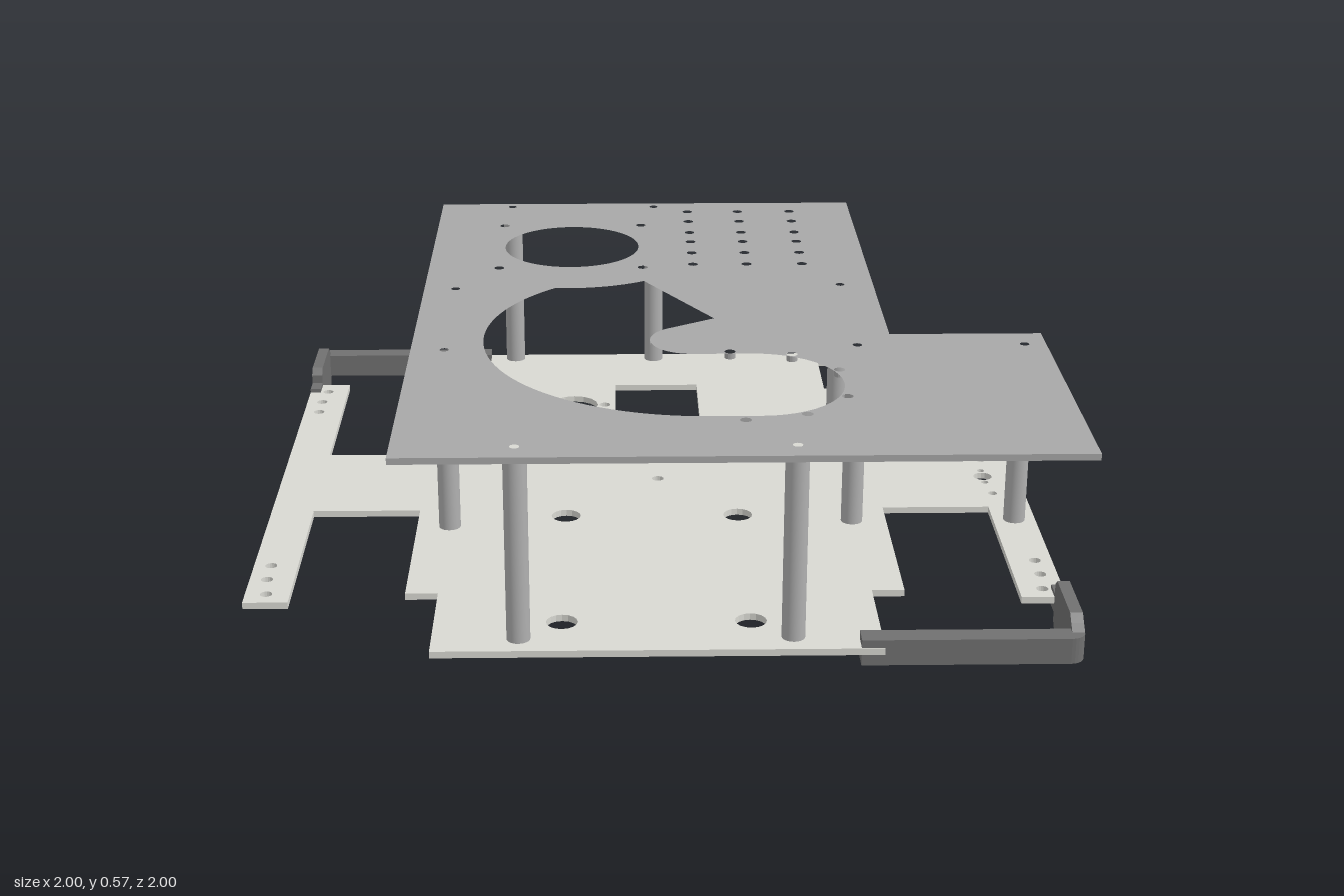
import * as THREE from 'three';

const mat = (color) => new THREE.MeshStandardMaterial({ color });

// Points are [x, z] in plan; shapes use y = -z so a plate can be laid flat.
const toVecs = (pts) => pts.map(([x, z]) => new THREE.Vector2(x, -z));

function arc(cx, cz, r, a0, a1, n = 24) {
  return Array.from({ length: n + 1 }, (_, i) => {
    const a = a0 + ((a1 - a0) * i) / n;
    return [cx + r * Math.cos(a), cz + r * Math.sin(a)];
  });
}

const circle = (x, z, r = 0.014) => arc(x, z, r, 0, Math.PI * 2, r > 0.1 ? 64 : 16).slice(0, -1);

// Flat plate from a plan outline and cutouts, with its underside at y
function plate(name, outline, cutouts, y, thickness, material) {
  const shape = new THREE.Shape(toVecs(outline));
  shape.holes = cutouts.map((c) => new THREE.Path(toVecs(c)));
  const geo = new THREE.ExtrudeGeometry(shape, { depth: thickness, bevelEnabled: false });
  geo.rotateX(-Math.PI / 2).translate(0, y, 0);
  const mesh = new THREE.Mesh(geo, material);
  mesh.name = name;
  return mesh;
}

export function createModel() {
  const model = new THREE.Group();
  model.name = 'twoDeckChassis';
  const topMat = mat(0xa8a8a8);
  const baseMat = mat(0xd8d8d2);
  const postMat = mat(0xb0b0b0);
  const bumperMat = mat(0x707070);
  const HALF = Math.PI / 2;

  // Spacer posts, each with a screw hole above it in the top deck
  const posts = [
    [-0.4, -0.97], [0.025, -0.965], [-0.525, -0.195], [0.52, -0.215], [-0.525, 0.29],
    [0.52, 0.27], [0.945, 0.27], [-0.325, 0.935], [0.32, 0.935],
  ];
  const postGeo = new THREE.CylinderGeometry(0.028, 0.028, 0.47, 24);
  for (const [x, z] of posts) {
    const post = new THREE.Mesh(postGeo, postMat);
    post.name = 'spacerPost';
    post.position.set(x, 0.315, z);
    model.add(post);
  }

  // Top deck: kidney cutout, round cutout and screw holes
  const kidney = [
    [0.165, 0.06],
    ...arc(0.1, 0.225, 0.105, -2.06, -3 * HALF),
    ...arc(0.25, 0.5425, 0.2125, -HALF, HALF),
    ...arc(0.12, 0.205, 0.55, HALF, 3.96, 40),
    ...arc(-0.215, -0.57, 0.375, HALF + 0.04, 1.005, 12),
  ];
  const topCuts = [kidney, circle(-0.215, -0.57, 0.19), ...posts.map(([x, z]) => circle(x, z, 0.012))];
  for (const x of [-0.415, -0.015]) for (const z of [-0.775, -0.375]) topCuts.push(circle(x, z));
  for (const x of [0.125, 0.275, 0.43])
    for (const z of [-0.91, -0.81, -0.7, -0.61, -0.505, -0.4]) topCuts.push(circle(x, z));
  for (const a of [-1.122, -0.424, 0.394, 1.085])
    topCuts.push(circle(0.25 + 0.229 * Math.cos(a), 0.5425 + 0.229 * Math.sin(a)));
  topCuts.push(circle(0.195, 0.314), circle(0.21, 0.78));
  const topOutline = [[-0.61, -1], [0.61, -1], [0.61, 0.19], [1, 0.19], [1, 1], [-0.61, 1]];
  model.add(plate('topDeck', topOutline, topCuts, 0.55, 0.016, topMat));

  // Base deck with a long arm on either side
  const baseOutline = [
    [-0.53, 1], [0.53, 1], [0.53, 0.69], [0.61, 0.69], [0.61, 0.19], [0.89, 0.19],
    [0.89, 0.735], [1, 0.735], [1, -0.745], [0.89, -0.745], [0.89, -0.195], [0.61, -0.195],
    [0.61, -0.69], [0.53, -0.69], [0.53, -0.93], [0.61, -0.93], [0.61, -1], [-0.53, -1],
    [-0.53, -0.69], [-0.61, -0.69], [-0.61, -0.195], [-0.89, -0.195], [-0.89, -0.745],
    [-1, -0.745], [-1, 0.735], [-0.89, 0.735], [-0.89, 0.19], [-0.61, 0.19], [-0.61, 0.69], [-0.53, 0.69],
  ];
  const baseCuts = [
    [[-0.093, -0.73], [0.15, -0.73], [0.15, -0.44], [-0.093, -0.44]], // square window
    circle(-0.215, -0.57, 0.07), circle(-0.305, -0.57, 0.016), circle(-0.125, -0.57, 0.016),
    circle(-0.07, -0.175, 0.016), circle(0.02, -0.015, 0.016),
    circle(0.905, -0.015, 0.025), circle(0.905, -0.055, 0.01), circle(0.905, 0.025, 0.01),
    circle(0.915, -0.13, 0.012), circle(0.915, 0.1, 0.012),
  ];
  for (const s of [-1, 1]) {
    for (const z of [0.23, 0.85]) baseCuts.push(circle(s * 0.225, z, 0.038));
    for (const e of [-1, 1])
      for (const [x, z] of [[0.948, 0.688], [0.957, 0.605], [0.957, 0.525]])
        baseCuts.push(circle(s * x, e * z, 0.015));
  }
  model.add(plate('baseDeck', baseOutline, baseCuts, 0.063, 0.017, baseMat));

  // Corner bumpers: a bar along the end and a tall cheek along the side
  const barOutline = [[0.475, 0.945], [0.97, 0.945], [1, 0.945], ...arc(0.965, 0.963, 0.035, 0, HALF, 6), [0.475, 0.998]];
  const cheekProfile = new THREE.Shape([
    [0.965, 0.035], [0.945, 0.018], [0.925, 0], [0.755, 0], [0.735, 0.018], [0.735, 0.04], [0.685, 0.04],
    [0.685, 0.09], [0.735, 0.09], [0.735, 0.115], [0.755, 0.132], [0.925, 0.132], [0.945, 0.115], [0.965, 0.1],
  ].map(([z, y]) => new THREE.Vector2(z, y)));
  const cheekGeo = new THREE.ExtrudeGeometry(cheekProfile, { depth: 0.03, bevelEnabled: false });
  cheekGeo.rotateY(-HALF).translate(1, 0, 0);
  for (const [name, turn] of [['frontLeftBumper', 0], ['backRightBumper', Math.PI]]) {
    const bumper = new THREE.Group();
    bumper.name = name;
    const cheek = new THREE.Mesh(cheekGeo, bumperMat);
    cheek.name = 'bumperCheek';
    bumper.add(plate('bumperBar', barOutline, [], 0.035, 0.065, bumperMat), cheek);
    bumper.rotation.y = turn;
    model.add(bumper);
  }
  return model;
}
